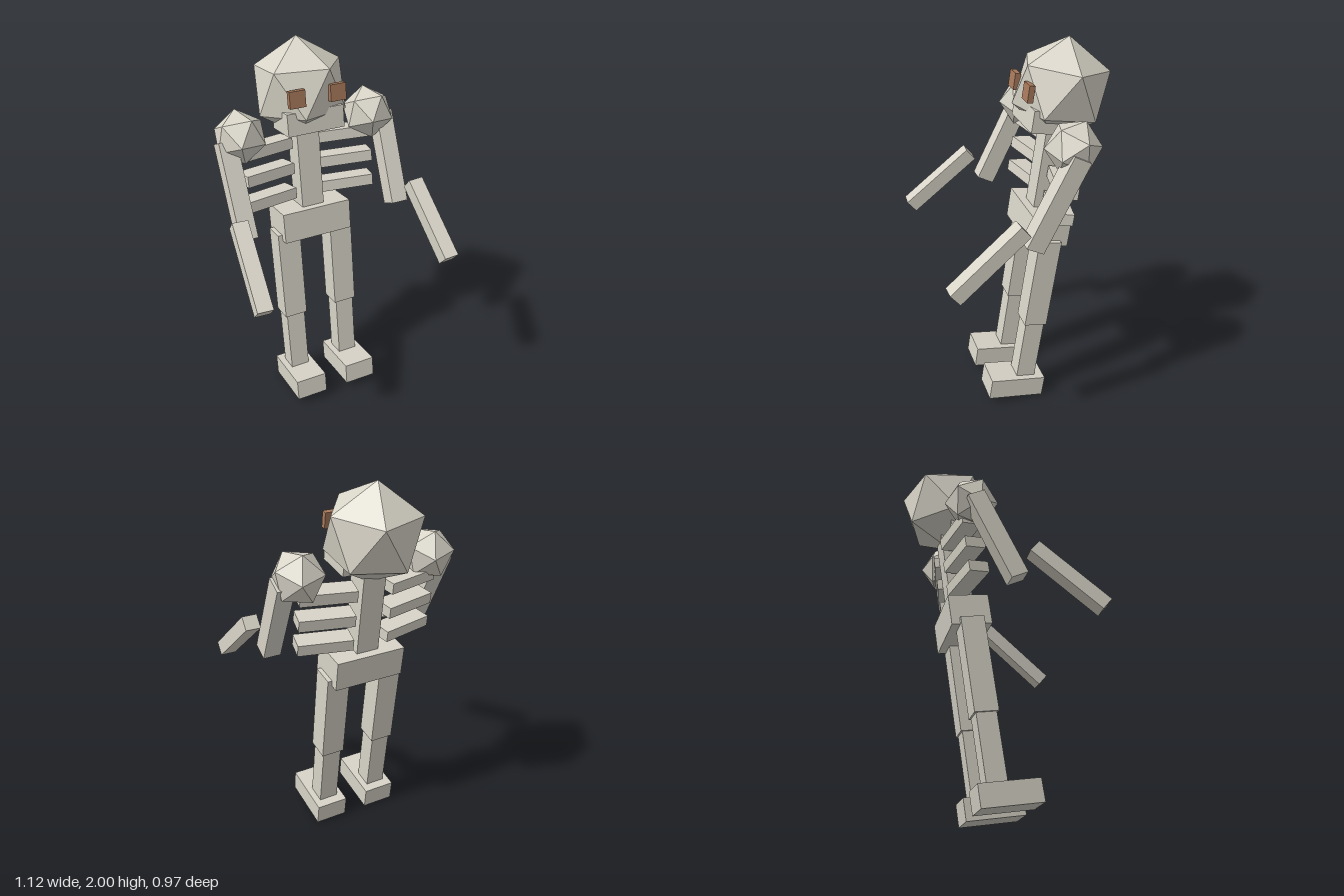
import * as THREE from 'three';

const LEAN = -0.15; // whole skeleton leans back

export function createModel() {
  const bone = new THREE.MeshStandardMaterial({ color: 0xd8d4c8 });
  bone.name = 'bone';
  const rust = new THREE.MeshStandardMaterial({ color: 0xa87a5c });
  rust.name = 'rustBrown';

  const model = new THREE.Group();
  model.name = 'skeleton';
  const body = new THREE.Group();
  body.name = 'body';
  body.rotation.x = LEAN;
  model.add(body);

  function add(parent, name, geometry, position, rotation = [0, 0, 0], material = bone) {
    const mesh = new THREE.Mesh(geometry, material);
    mesh.name = name;
    mesh.position.set(...position);
    mesh.rotation.set(...rotation);
    parent.add(mesh);
    return mesh;
  }
  const box = (w, h, d) => new THREE.BoxGeometry(w, h, d);
  // Icosahedron standing on one corner
  const ball = (r) => new THREE.IcosahedronGeometry(r, 0).rotateZ(-Math.atan(2 / (1 + Math.sqrt(5))));

  // Trunk and head
  add(body, 'pelvis', box(0.39, 0.165, 0.215), [0, 1.043, 0]);
  add(body, 'spine', box(0.125, 0.5, 0.125), [0, 1.35, 0]);
  add(body, 'skull', ball(0.26), [0, 1.763, 0]);
  add(body, 'jaw', box(0.31, 0.115, 0.2), [0, 1.623, 0.08]);

  for (const side of [1, -1]) {
    const label = side > 0 ? 'left' : 'right';

    add(body, label + 'Eye', box(0.085, 0.085, 0.03), [side * 0.11, 1.76, 0.21], [0, 0, 0], rust);

    // Ribs sweep forward at their outer ends
    for (let i = 0; i < 3; i++) {
      add(body, label + 'Rib' + (i + 1), box(0.288, 0.06, 0.11),
        [side * 0.228, 1.2 + i * 0.14, 0], [0, -side * 0.2, 0]);
    }

    // Leg
    add(body, label + 'Thigh', box(0.128, 0.51, 0.125), [side * 0.155, 0.738, 0]);
    add(body, label + 'Shin', box(0.106, 0.4, 0.106), [side * 0.155, 0.3, 0]);
    add(body, label + 'Foot', box(0.177, 0.117, 0.313), [side * 0.155, 0.075, 0.052]);

    // Arm reaching forward
    const arm = new THREE.Group();
    arm.name = label + 'Arm';
    model.add(arm);
    add(arm, label + 'Shoulder', ball(0.14), [side * 0.363, 1.565, -0.194], [-0.46, 0, 0]);
    add(arm, label + 'UpperArm', box(0.094, 0.5, 0.096),
      [side * 0.439, 1.327, -0.083], [-0.47, 0, -side * 0.01]);
    add(arm, label + 'Forearm', box(0.082, 0.46, 0.076),
      [side * 0.508, 1.1, 0.272], [-0.885, 0, side * 0.05]);
  }
  return model;
}
